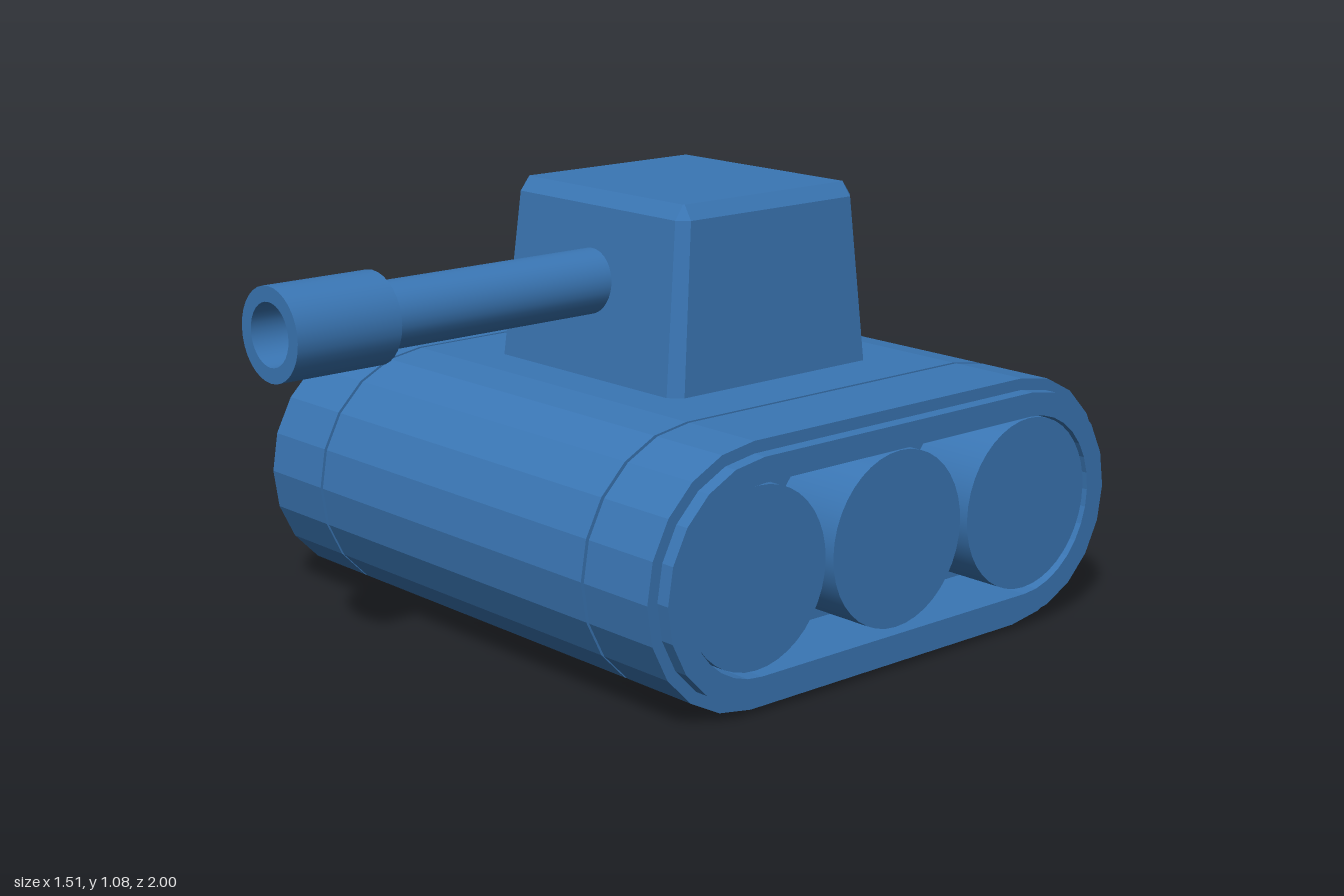
import * as THREE from 'three';

const material = new THREE.MeshStandardMaterial({ color: 0x3a76b4, side: THREE.DoubleSide });
const flat = material.clone();
flat.flatShading = true;

const MID_Y = 0.315, MID_Z = -0.235, HALF = 0.45;

// Points of a rounded-end loop: two half circles joined by straight runs
function loop(radius, segments) {
  const pts = [];
  for (const side of [1, -1]) {
    for (let i = 0; i <= segments; i++) {
      const a = -Math.PI / 2 + (Math.PI * i) / segments;
      pts.push(new THREE.Vector2(side * (HALF + radius * Math.cos(a)), side * radius * Math.sin(a)));
    }
  }
  return pts;
}

// Rounded-end slab lying across the model from x0 to x1, optionally hollow
function slab(name, x0, x1, radius, holeRadius) {
  const shape = new THREE.Shape(loop(radius, 10));
  if (holeRadius) shape.holes.push(new THREE.Path(loop(holeRadius, 16).reverse()));
  const geo = new THREE.ExtrudeGeometry(shape, { depth: x1 - x0, bevelEnabled: false });
  geo.rotateY(Math.PI / 2).translate(x0, MID_Y, MID_Z);
  const mesh = new THREE.Mesh(geo, flat);
  mesh.name = name;
  return mesh;
}

// Tapered turret with cut corners, from rings of eight points
function turret() {
  // y, half width, front z, back z, corner cut
  const rings = [
    [0.62, 0.336, 0.101, -0.566, 0.03],
    [1.045, 0.312, 0.058, -0.525, 0.026],
    [1.08, 0.287, 0.032, -0.5, 0.003],
  ];
  const pos = [], index = [];
  for (const [y, w, f, b, c] of rings) {
    for (const [x, z] of [[w - c, f], [w, f - c], [w, b + c], [w - c, b],
      [c - w, b], [-w, b + c], [-w, f - c], [c - w, f]]) pos.push(x, y, z);
  }
  for (let r = 0; r < 2; r++) {
    for (let i = 0; i < 8; i++) {
      const a = r * 8 + i, b = r * 8 + ((i + 1) % 8);
      index.push(a, b, b + 8, a, b + 8, a + 8);
    }
  }
  for (let i = 1; i < 7; i++) {
    index.push(16, 16 + i, 17 + i);
    index.push(0, i + 1, i);
  }
  const indexed = new THREE.BufferGeometry();
  indexed.setAttribute('position', new THREE.Float32BufferAttribute(pos, 3));
  indexed.setIndex(index);
  const geo = indexed.toNonIndexed();
  geo.computeVertexNormals();
  const mesh = new THREE.Mesh(geo, flat);
  mesh.name = 'turret';
  return mesh;
}

// Gun barrel and hollow muzzle, each profile run turned separately to keep hard edges
function gun() {
  const group = new THREE.Group();
  group.name = 'gun';
  const runs = {
    barrel: [[0.08, 0], [0.08, 0.72]],
    muzzleBack: [[0.07, 0.72], [0.11, 0.72]],
    muzzleSleeve: [[0.11, 0.72], [0.11, 1]],
    muzzleRim: [[0.11, 1], [0.074, 1]],
    bore: [[0.074, 1], [0.074, 0.86]],
    boreEnd: [[0.074, 0.86], [0.035, 0.82], [0, 0.82]],
  };
  for (const [name, pts] of Object.entries(runs)) {
    const geo = new THREE.LatheGeometry(pts.map(([r, z]) => new THREE.Vector2(r, z)), 32);
    geo.rotateX(Math.PI / 2);
    const mesh = new THREE.Mesh(geo, material);
    mesh.name = name;
    group.add(mesh);
  }
  group.position.y = 0.862;
  return group;
}

// One track: band, stepped rim and three wheels in the recess
function track(side) {
  const group = new THREE.Group();
  group.name = side > 0 ? 'leftTrack' : 'rightTrack';
  const at = (name, a, b, r, hole) =>
    group.add(slab(name, Math.min(side * a, side * b), Math.max(side * a, side * b), r, hole));
  at('trackBand', 0.51, 0.722, 0.315, 0.226);
  at('trackRim', 0.722, 0.757, 0.286, 0.226);
  for (const z of [0.222, MID_Z, -0.692]) {
    const geo = new THREE.CylinderGeometry(0.216, 0.216, 0.2, 40);
    geo.rotateZ(Math.PI / 2);
    const wheel = new THREE.Mesh(geo, material);
    wheel.name = 'wheel';
    wheel.position.set(side * 0.645, MID_Y + 0.003, z);
    group.add(wheel);
  }
  return group;
}

export function createModel() {
  const model = new THREE.Group();
  model.name = 'tank';
  model.add(slab('hull', -0.5, 0.5, 0.315));
  // Inner core shows in the grooves and closes the wheel recesses
  model.add(slab('core', -0.55, 0.55, 0.29));
  model.add(track(1), track(-1), turret(), gun());
  return model;
}
